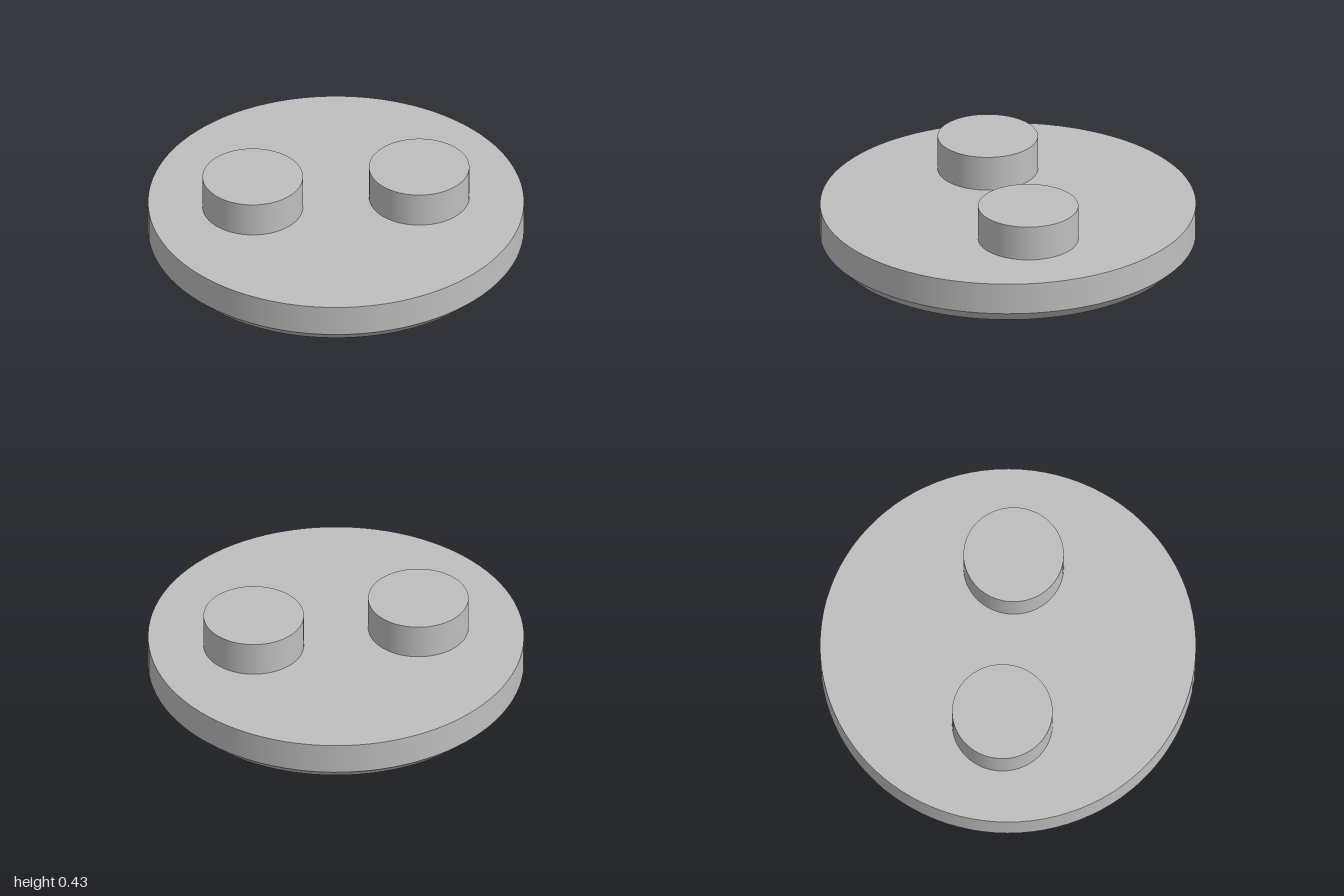
import * as THREE from 'three';

const SEGMENTS = 96;

export function createModel() {
  const model = new THREE.Group();
  model.name = 'studdedDisc';
  const grey = new THREE.MeshStandardMaterial({ color: 0xbfbfbf });
  grey.name = 'grey';

  // Upright round section between two heights
  function addRound(parent, name, topRadius, bottomRadius, y0, y1, x = 0, open = false) {
    const geometry = new THREE.CylinderGeometry(topRadius, bottomRadius, y1 - y0, SEGMENTS, 1, open);
    const mesh = new THREE.Mesh(geometry, grey);
    mesh.name = name;
    mesh.position.set(x, (y0 + y1) / 2, 0);
    parent.add(mesh);
  }

  // Disc: straight rim, chamfered lower edge, flat top and underside
  const disc = new THREE.Group();
  disc.name = 'disc';
  model.add(disc);
  addRound(disc, 'rim', 1, 1, 0.067, 0.241, 0, true);
  addRound(disc, 'chamfer', 1, 0.933, 0, 0.067, 0, true);
  for (const [name, radius, y, turn] of [['topFace', 1, 0.241, -1], ['underside', 0.933, 0, 1]]) {
    const face = new THREE.Mesh(new THREE.CircleGeometry(radius, SEGMENTS), grey);
    face.name = name;
    face.rotation.x = turn * Math.PI / 2;
    face.position.y = y;
    disc.add(face);
  }

  // Pair of round studs on the top
  for (const [name, side] of [['leftStud', 1], ['rightStud', -1]]) {
    addRound(model, name, 0.267, 0.267, 0.241, 0.434, side * 0.445);
  }

  return model;
}
